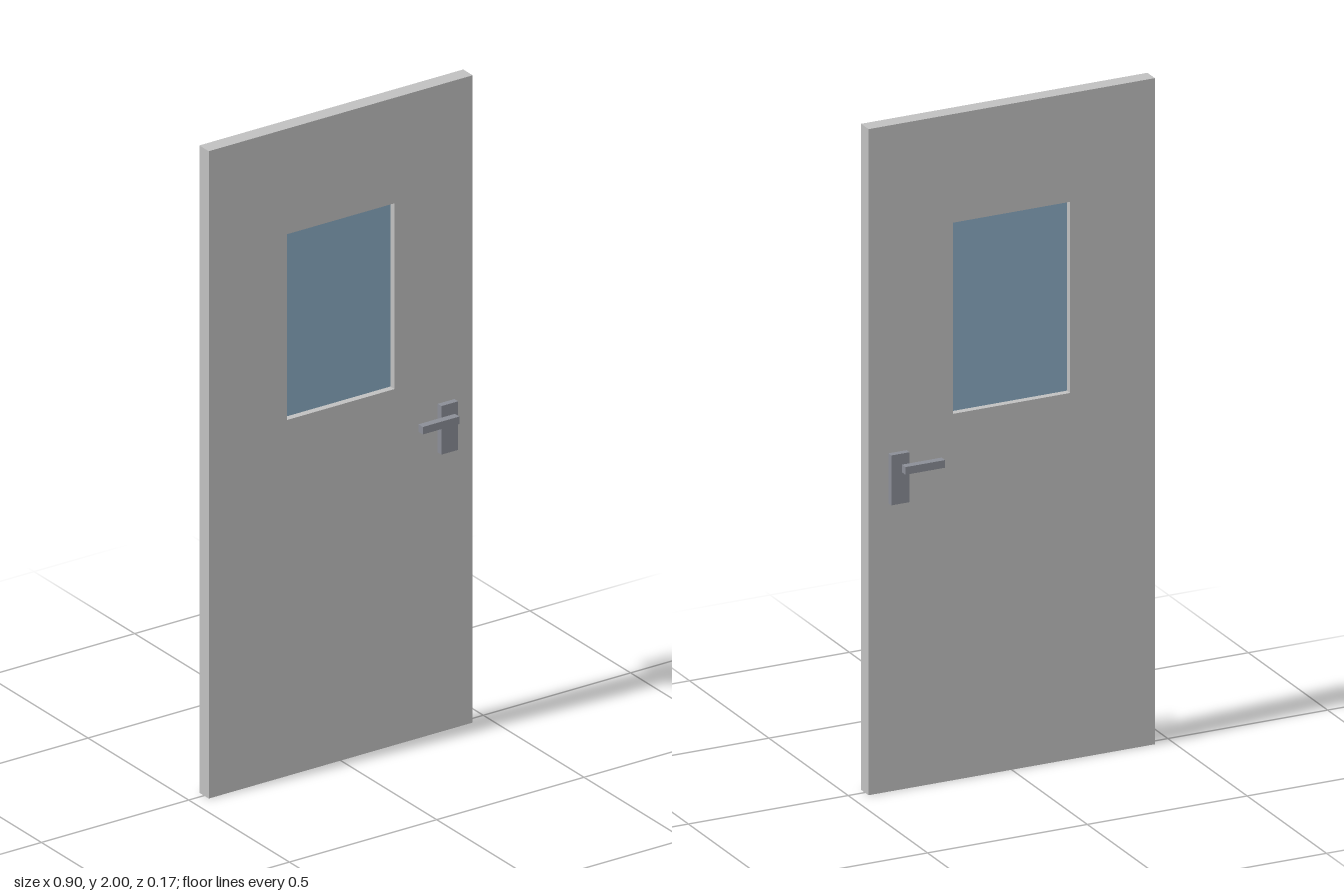
import * as THREE from 'three';

const material = (name, color) => {
  const m = new THREE.MeshStandardMaterial({ color });
  m.name = name;
  return m;
};

// Box given by its lower and upper corners
function box(name, mat, [x0, y0, z0], [x1, y1, z1]) {
  const mesh = new THREE.Mesh(new THREE.BoxGeometry(x1 - x0, y1 - y0, z1 - z0), mat);
  mesh.position.set((x0 + x1) / 2, (y0 + y1) / 2, (z0 + z1) / 2);
  mesh.name = name;
  return mesh;
}

// Rectangular outline for the leaf and its opening
function rectangle(PathType, x, y0, y1) {
  const path = new PathType();
  path.moveTo(-x, y0).lineTo(x, y0).lineTo(x, y1).lineTo(-x, y1).closePath();
  return path;
}

export function createModel() {
  const paint = material('grey paint', 0xc0c0c0);
  const glass = material('blue glass', 0x8aabc2);
  const metal = material('dark metal', 0x8b8e97);

  const door = new THREE.Group();
  door.name = 'door';

  // Door leaf with a window opening
  const halfDepth = 0.0235;
  const outline = rectangle(THREE.Shape, 0.448, 0, 2);
  outline.holes.push(rectangle(THREE.Path, 0.183, 1.1, 1.674));
  const leafGeometry = new THREE.ExtrudeGeometry(outline, { depth: halfDepth * 2, bevelEnabled: false });
  leafGeometry.translate(0, 0, -halfDepth);
  const leaf = new THREE.Mesh(leafGeometry, paint);
  leaf.name = 'doorLeaf';
  door.add(leaf);

  // Pane set in the middle of the opening
  door.add(box('windowPane', glass, [-0.183, 1.1, -0.003], [0.183, 1.674, 0.003]));

  // Backplate and lever on both faces
  for (const side of [1, -1]) {
    const handle = new THREE.Group();
    handle.name = side > 0 ? 'frontHandle' : 'backHandle';
    const plate = box('backplate', metal, [0.329, 0.866, halfDepth], [0.386, 1.016, 0.042]);
    const lever = box('lever', metal, [0.238, 0.968, 0.061], [0.362, 0.991, 0.083]);
    for (const part of [plate, lever]) part.position.z *= side;
    handle.add(plate, lever);
    door.add(handle);
  }

  return door;
}
